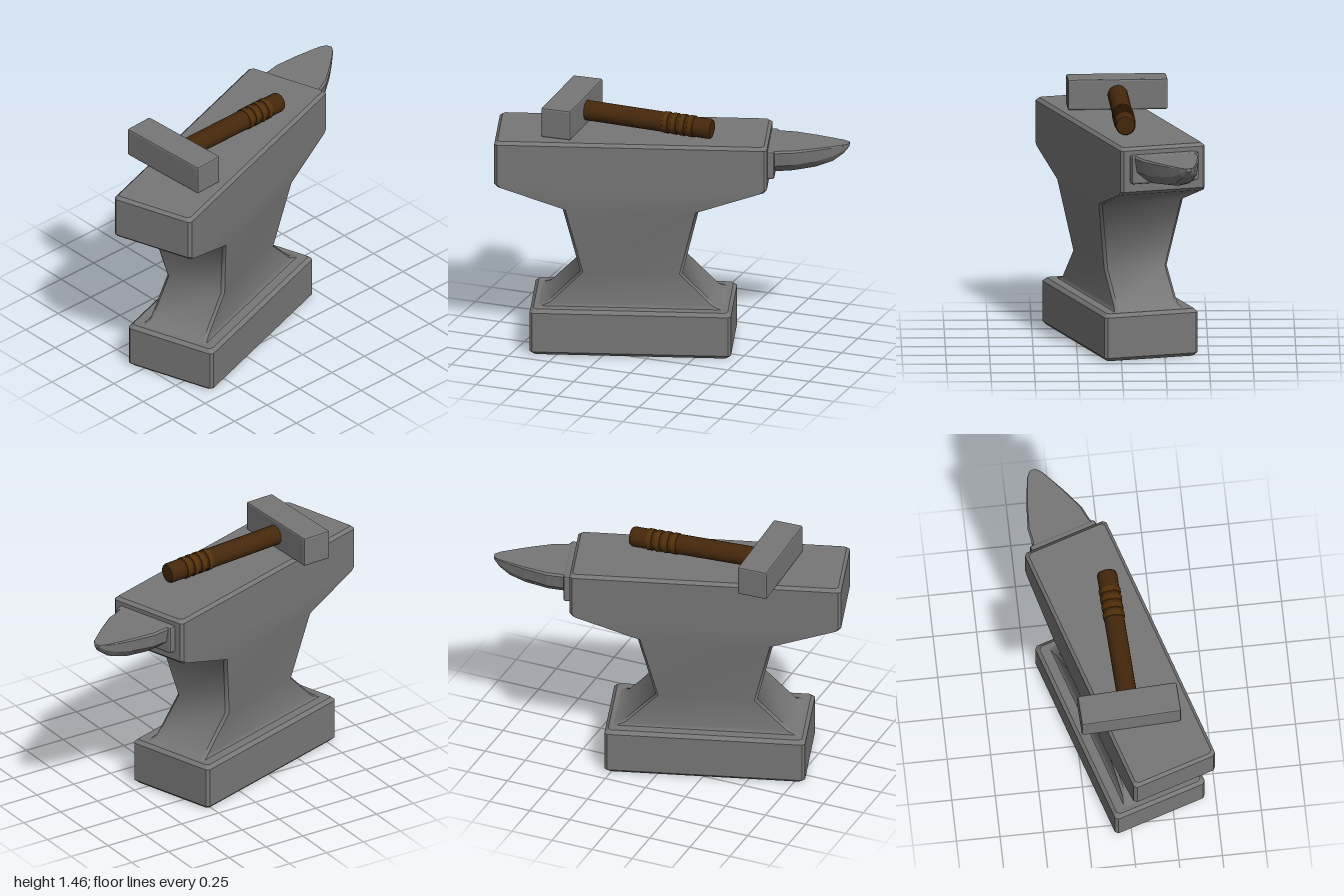
import * as THREE from 'three';
import { RoundedBoxGeometry } from 'three/addons/geometries/RoundedBoxGeometry.js';

const steel = new THREE.MeshStandardMaterial({ color: 0x777777, flatShading: true });
const smoothSteel = new THREE.MeshStandardMaterial({ color: 0x777777 });
const wood = new THREE.MeshStandardMaterial({ color: 0x45280c });
const wrap = new THREE.MeshStandardMaterial({ color: 0x52300a });

function addMesh(parent, name, geometry, material) {
  const mesh = new THREE.Mesh(geometry, material);
  mesh.name = name;
  parent.add(mesh);
  return mesh;
}

// Skin a list of closed rings of [x, y, z] and cap both ends.
// Each column of faces has its own vertices: smooth along it, sharp between columns.
function loft(rings) {
  const n = rings[0].length;
  const pos = [];
  const idx = [];
  for (let j = 0; j < n; j++) {
    rings.forEach((ring, i) => {
      const a = pos.length;
      pos.push(ring[j], ring[(j + 1) % n]);
      if (i < rings.length - 1) idx.push(a, a + 1, a + 3, a, a + 3, a + 2);
    });
  }
  const first = pos.length, last = first + n;
  pos.push(...rings[0], ...rings[rings.length - 1]);
  for (let j = 1; j < n - 1; j++) {
    idx.push(first, first + j + 1, first + j, last, last + j, last + j + 1);
  }
  const g = new THREE.BufferGeometry();
  g.setAttribute('position', new THREE.Float32BufferAttribute(pos.flat(), 3));
  g.setIndex(idx);
  g.computeVertexNormals();
  return g;
}

// Horizontal rectangle with chamfered corners: half width w, half length l
function slab([y, w, l]) {
  const c = 0.016;
  return [
    [w, y, l - c], [w, y, c - l], [w - c, y, -l], [c - w, y, -l],
    [-w, y, c - l], [-w, y, l - c], [c - w, y, l], [w - c, y, l],
  ];
}

// Flat-topped, full-bellied section of the horn: half width w, depth d
function hornSection([z, w, d]) {
  const top = 1.237;
  const half = [[0.94, 0], [1, 0.07], [0.93, 0.58], [0.58, 0.92]];
  const right = half.map(([x, y]) => [x * w, top - y * d, z]);
  const left = half.map(([x, y]) => [-x * w, top - y * d, z]).reverse();
  return [...right, [0, top - d, z], ...left];
}

function makeAnvil() {
  const anvil = new THREE.Group();
  anvil.name = 'anvil';

  const base = [[0, 0.26, 0.556], [0.02, 0.28, 0.576], [0.255, 0.28, 0.576], [0.275, 0.26, 0.556]];
  addMesh(anvil, 'base', loft(base.map(slab)), steel);

  // Flared foot, narrow waist and sloping underside of the face block
  const waist = [
    [0.27, 0.21, 0.545], [0.292, 0.19, 0.48], [0.48, 0.188, 0.292],
    [0.88, 0.253, 0.388], [1.005, 0.254, 0.76],
  ];
  addMesh(anvil, 'waist', loft(waist.map(slab)), smoothSteel);

  // Overhanging face block
  const block = [[1.005, 0.254, 0.76], [1.025, 0.254, 0.78], [1.265, 0.254, 0.78], [1.283, 0.236, 0.762]];
  addMesh(anvil, 'faceBlock', loft(block.map(slab)), steel);

  // Horn and the collar at its root
  const collar = addMesh(anvil, 'hornCollar', new RoundedBoxGeometry(0.404, 0.165, 0.12, 1, 0.012), steel);
  collar.position.set(0, 1.158, -0.76);
  const horn = [
    [-0.8, 0.19, 0.157], [-0.84, 0.18, 0.157], [-0.92, 0.169, 0.152], [-1.05, 0.119, 0.135],
    [-1.145, 0.075, 0.105], [-1.205, 0.046, 0.06], [-1.237, 0.018, 0.02],
  ];
  addMesh(anvil, 'horn', loft(horn.map(hornSection)), steel);

  anvil.position.z = 0.18;
  anvil.rotation.y = 0.31;
  return anvil;
}

function makeHammer() {
  const hammer = new THREE.Group();
  hammer.name = 'hammer';
  addMesh(hammer, 'hammerHead', new RoundedBoxGeometry(0.572, 0.177, 0.178, 1, 0.01), steel);

  const handle = new THREE.Group();
  handle.name = 'handle';
  handle.rotation.x = -0.032;
  hammer.add(handle);

  // Turned along y, then laid to point backwards; doubled points keep the rims sharp
  const turned = (points) => {
    const sharp = points.flatMap((p, i) => (i > 0 && i < points.length - 1 ? [p, p] : [p]));
    return new THREE.LatheGeometry(sharp.map(([r, y]) => new THREE.Vector2(r, y)), 20).rotateX(-Math.PI / 2);
  };
  const shaft = [[0, 0.04], [0.058, 0.04], [0.058, 0.833], [0.052, 0.846], [0, 0.846]];
  addMesh(handle, 'shaft', turned(shaft), wood);

  // Raised grip bands
  for (let i = 0; i < 4; i++) {
    const y = 0.556 + i * 0.05;
    const band = [[0.05, y], [0.062, y + 0.005], [0.063, y + 0.035], [0.05, y + 0.04]];
    addMesh(handle, 'gripBand', turned(band), wrap);
  }

  hammer.position.set(0.013, 1.371, 0.552);
  hammer.rotation.y = 0.046;
  return hammer;
}

export function createModel() {
  const model = new THREE.Group();
  model.name = 'anvilAndHammer';
  model.add(makeAnvil(), makeHammer());
  return model;
}
